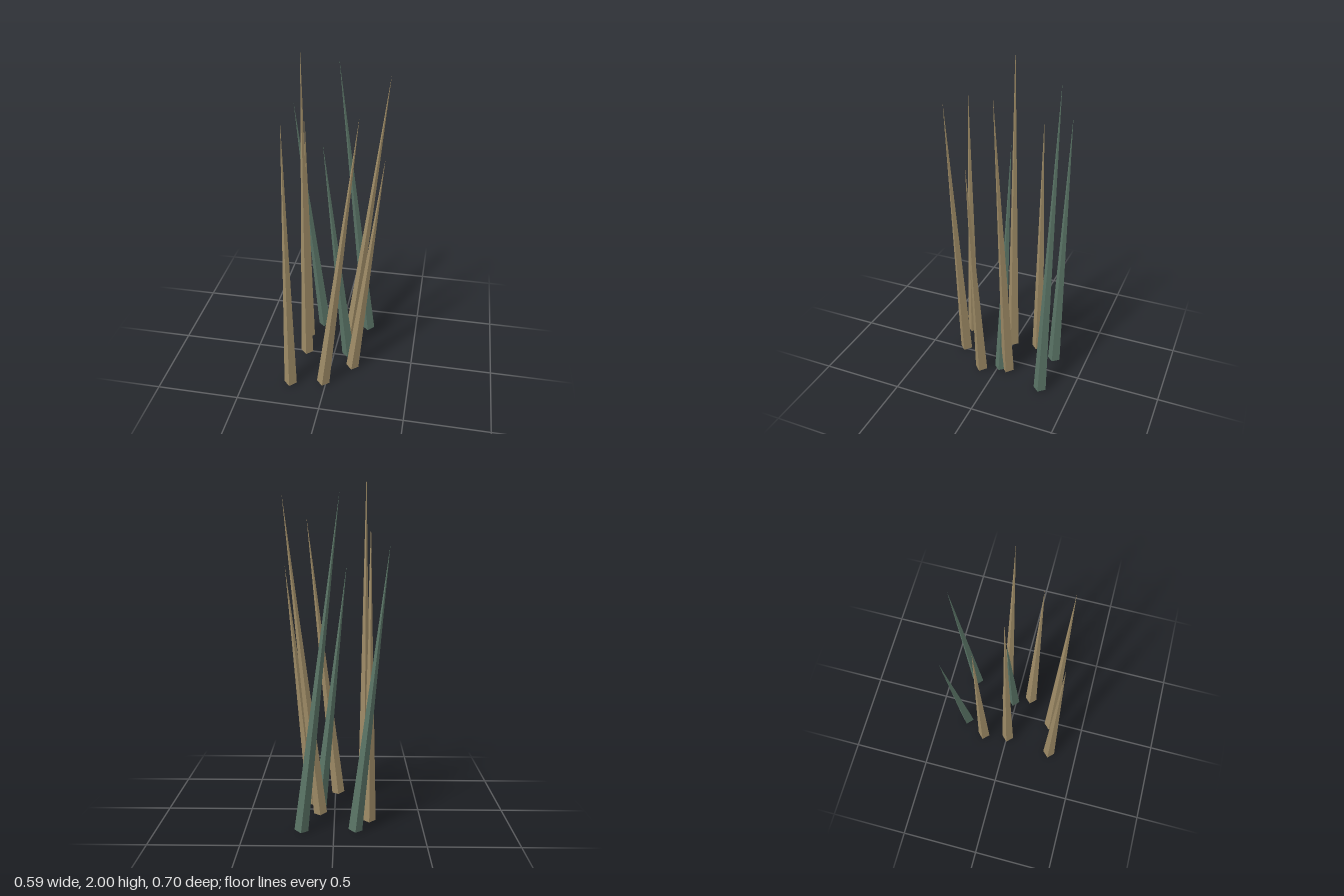
import * as THREE from 'three';

const RADIUS = 0.039;

export function createModel() {
  const group = new THREE.Group();
  const straw = new THREE.MeshStandardMaterial({ name: 'dry straw', color: 0x9e8b66, flatShading: true });
  const green = new THREE.MeshStandardMaterial({ name: 'dull green', color: 0x597365, flatShading: true });

  // A four-sided spike from a base centre (x, z) to a tip at tipX and height
  function blade(name, material, x, z, tipX, height) {
    const dx = tipX - x;
    const length = Math.hypot(dx, height);
    const geometry = new THREE.ConeGeometry(RADIUS, length, 4);
    geometry.translate(0, length / 2, 0);
    const mesh = new THREE.Mesh(geometry, material);
    mesh.name = name;
    mesh.position.set(x, 0.004, z);
    mesh.rotation.z = -Math.atan2(dx, height);
    group.add(mesh);
  }

  // Upright dry blades
  blade('uprightBladeBack', straw, -0.201, -0.162, -0.201, 1.566);
  blade('uprightBladeMiddle', straw, -0.177, 0.005, -0.177, 1.996);
  blade('uprightBladeFront', straw, -0.215, 0.312, -0.215, 1.716);

  // Dry blades leaning to the left
  blade('leaningBladeBack', straw, 0.084, -0.065, 0.294, 1.86);
  blade('leaningBladeMiddle', straw, 0.136, 0.096, 0.295, 1.455);
  blade('leaningBladeFront', straw, -0.018, 0.273, 0.177, 1.745);

  // Green blades leaning to the right
  blade('greenBladeRight', green, -0.12, -0.301, -0.297, 1.585);
  blade('greenBladeLeft', green, 0.182, -0.313, -0.029, 1.855);
  blade('greenBladeMiddle', green, 0.09, -0.018, -0.067, 1.46);

  return group;
}
